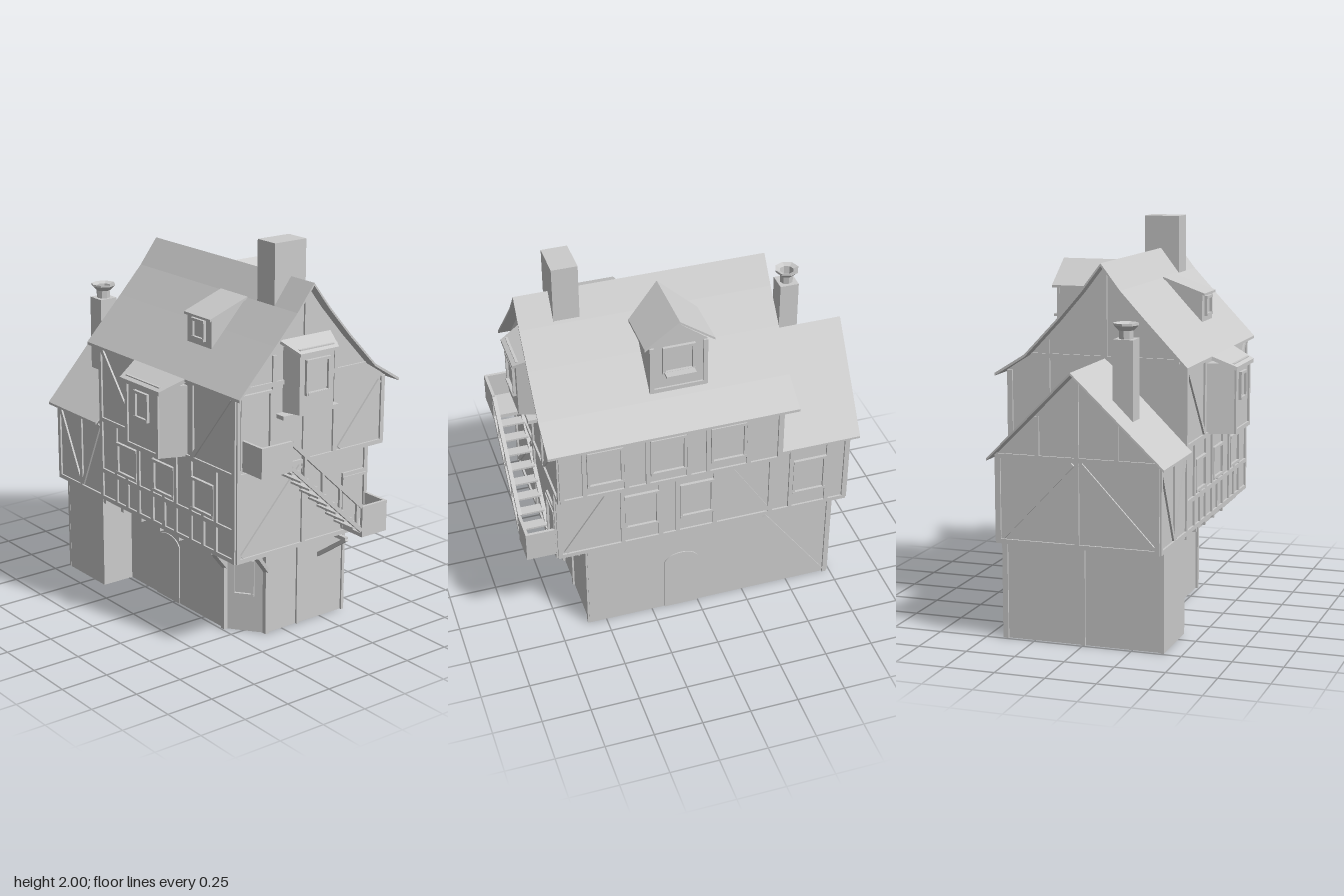
import * as THREE from 'three';
import { ConvexGeometry } from 'three/addons/geometries/ConvexGeometry.js';

const mat = new THREE.MeshStandardMaterial({ color: 0xcccccc, flatShading: true, side: THREE.DoubleSide });

function add(parent, name, geometry) {
  const mesh = new THREE.Mesh(geometry, mat);
  mesh.name = name;
  parent.add(mesh);
  return mesh;
}

// Box given by its minimum and maximum on each axis
function box(parent, name, x0, x1, y0, y1, z0, z1) {
  const m = add(parent, name, new THREE.BoxGeometry(x1 - x0, y1 - y0, z1 - z0));
  m.position.set((x0 + x1) / 2, (y0 + y1) / 2, (z0 + z1) / 2);
  return m;
}

// Square bar between two points
function bar(parent, name, a, b, w) {
  const p = new THREE.Vector3(...a), q = new THREE.Vector3(...b);
  const m = add(parent, name, new THREE.BoxGeometry(w, w, p.distanceTo(q)));
  m.position.copy(p).lerp(q, 0.5);
  m.lookAt(q);
  return m;
}

// Convex solid around a few corners
const hull = (parent, name, pts) =>
  add(parent, name, new ConvexGeometry(pts.map(p => new THREE.Vector3(...p))));

// Thin roof plate: corners of the top surface, given a thickness downwards
const slab = (parent, name, pts, t = 0.012) =>
  hull(parent, name, [...pts, ...pts.map(([x, y, z]) => [x, y - t, z])]);

// [z, y] profile extruded along x
function extrudeX(parent, name, profile, x0, x1) {
  const shape = new THREE.Shape(profile.map(([z, y]) => new THREE.Vector2(-z, y)));
  const g = new THREE.ExtrudeGeometry(shape, { depth: x1 - x0, bevelEnabled: false });
  g.rotateY(Math.PI / 2);
  g.translate(x0, 0, 0);
  return add(parent, name, g);
}

// Wall plane: local x to the right, y up, z outwards
function face(parent, name, x, z, turn) {
  const g = new THREE.Group();
  g.name = name;
  g.position.set(x, 0, z);
  g.rotation.y = turn;
  parent.add(g);
  return g;
}

// Timbers as [x1, y1, x2, y2] on a wall plane
function timbers(wall, list, w = 0.022) {
  for (const [x1, y1, x2, y2] of list) {
    const m = add(wall, 'timber', new THREE.BoxGeometry(Math.hypot(x2 - x1, y2 - y1), w, 0.016));
    m.position.set((x1 + x2) / 2, (y1 + y2) / 2, 0.002);
    m.rotation.z = Math.atan2(y2 - y1, x2 - x1);
  }
}

// Framed window on a wall plane
function windowAt(wall, x, y, w, h, sill = 0) {
  const t = 0.014, a = w / 2, b = h / 2;
  box(wall, 'windowPane', x - a, x + a, y - b, y + b, -0.005, 0.002);
  for (const s of [-1, 1]) {
    box(wall, 'windowFrame', x + s * a - t / 2, x + s * a + t / 2, y - b, y + b, -0.005, 0.014);
    box(wall, 'windowFrame', x - a - t / 2, x + a + t / 2, y + s * b - t / 2, y + s * b + t / 2, -0.005, 0.016);
  }
  if (sill) box(wall, 'windowSill', x - a, x + a, y - b - 0.006, y - b + 0.006, 0, sill);
}

// Door with a low arched top
function archDoor(wall, x, w, h) {
  const s = new THREE.Shape();
  s.moveTo(x - w / 2, 0);
  s.lineTo(x + w / 2, 0);
  s.lineTo(x + w / 2, h - 0.045);
  s.quadraticCurveTo(x + w * 0.36, h, x, h);
  s.quadraticCurveTo(x - w * 0.36, h, x - w / 2, h - 0.045);
  add(wall, 'archedDoor', new THREE.ExtrudeGeometry(s, { depth: 0.006, bevelEnabled: false }));
}

export function createModel() {
  const house = new THREE.Group();
  house.name = 'timberHouse';

  // Ground floor: walls around an open-bottomed plan
  const plan = [[-0.73, 0.41], [-0.4, 0.41], [-0.4, 0.23], [0.42, 0.23], [0.59, 0.1], [0.59, -0.41], [-0.73, -0.41]];
  const v = [];
  plan.forEach(([x, z], i) => {
    const [p, q] = plan[(i + 1) % plan.length];
    v.push(x, 0, z, p, 0, q, p, 0.5, q, x, 0, z, p, 0.5, q, x, 0.5, z);
  });
  const walls = new THREE.BufferGeometry();
  walls.setAttribute('position', new THREE.Float32BufferAttribute(v, 3));
  walls.computeVertexNormals();
  add(house, 'groundFloorWalls', walls);

  // Upper storeys and the lower side wing
  extrudeX(house, 'upperStoreys', [[0.41, 0.5], [-0.41, 0.5], [-0.41, 0.94], [-0.51, 0.94], [-0.51, 1.285],
    [-0.38, 1.375], [-0.23, 1.535], [-0.1, 1.685], [0, 1.815], [0.1, 1.685], [0.41, 1.35]], -0.4, 0.74);
  extrudeX(house, 'sideWing', [[0.41, 0.5], [-0.41, 0.5], [-0.41, 0.935], [0, 1.345], [0.41, 0.935]], -0.81, -0.4);

  // Roofs
  const roofTop = [[-0.56, 1.27], [-0.4, 1.37], [-0.23, 1.55], [-0.1, 1.7], [0, 1.83], [0.1, 1.7], [0.23, 1.56], [0.44, 1.34]];
  extrudeX(house, 'mainRoof', [...roofTop, ...roofTop.map(([z, y]) => [z, y - 0.014]).reverse()], -0.47, 0.8);
  for (const s of [-1, 1])
    slab(house, 'wingRoof', [[-0.9, 1.36, 0], [-0.4, 1.36, 0], [-0.4, 0.92, s * 0.445], [-0.857, 0.92, s * 0.445]]);

  // Chimneys
  box(house, 'mainChimney', 0.5, 0.63, 1.6, 2, -0.09, 0.1);
  box(house, 'wingChimney', -0.725, -0.625, 1.1, 1.5, 0.15, 0.25);
  const pot = [[0.035, 1.5], [0.037, 1.54], [0.063, 1.565], [0.063, 1.575], [0.037, 1.565], [0.033, 1.5]];
  add(house, 'chimneyPot', new THREE.LatheGeometry(pot.map(p => new THREE.Vector2(...p)), 8)).position.set(-0.675, 0, 0.2);

  // Front dormer with a lean-to roof
  extrudeX(house, 'frontDormer', [[0.31, 1.47], [0.31, 1.62], [0.1, 1.69], [0.2, 1.47]], 0.225, 0.415);
  slab(house, 'frontDormerRoof', [[0.215, 1.625, 0.325], [0.425, 1.625, 0.325], [0.425, 1.705, 0.1], [0.215, 1.705, 0.1]]);
  windowAt(face(house, 'frontDormerFace', 0, 0.31, 0), 0.32, 1.555, 0.09, 0.09);

  // Back dormer with a gabled roof
  const gable = new THREE.Shape([[-0.05, 1.4], [0.24, 1.4], [0.24, 1.665], [0.095, 1.775], [-0.05, 1.665]].map(p => new THREE.Vector2(...p)));
  const gableGeo = new THREE.ExtrudeGeometry(gable, { depth: 0.3, bevelEnabled: false });
  add(house, 'backDormer', gableGeo).position.z = -0.375;
  for (const x of [-0.08, 0.27])
    slab(house, 'backDormerRoof', [[0.095, 1.8, -0.4], [0.095, 1.8, -0.03], [x, 1.675, -0.13], [x, 1.675, -0.4]]);
  const dormerFace = face(house, 'backDormerFace', 0.095, -0.375, Math.PI);
  windowAt(dormerFace, 0, 1.58, 0.15, 0.14, 0.055);
  timbers(dormerFace, [[-0.135, 1.4, -0.135, 1.66], [0.135, 1.4, 0.135, 1.66], [-0.14, 1.41, 0.14, 1.41]]);

  // Front bay window
  hull(house, 'frontBay', [0.94, 1.3].flatMap(y => [[-0.03, y, 0.4], [0.36, y, 0.4], [0.305, y, 0.54], [0.022, y, 0.54]]));
  slab(house, 'frontBayRoof', [[-0.05, 1.345, 0.43], [0.38, 1.345, 0.43], [0.33, 1.285, 0.56], [0, 1.285, 0.56]], 0.02);
  const bayFace = face(house, 'frontBayFace', 0.164, 0.54, 0);
  windowAt(bayFace, 0, 1.172, 0.1, 0.13);
  timbers(bayFace, [[-0.13, 0.94, -0.13, 1.27], [0.13, 0.94, 0.13, 1.27], [-0.14, 0.95, 0.14, 0.95]]);

  // Oriel window on the right gable
  hull(house, 'gableOriel', [1.21, 1.53].flatMap(y => [[0.72, y, 0.14], [0.72, y, -0.14], [0.83, y, -0.105], [0.83, y, 0.105]]));
  slab(house, 'gableOrielRoof', [[0.73, 1.57, 0.16], [0.73, 1.57, -0.16], [0.85, 1.515, -0.118], [0.85, 1.515, 0.118]], 0.015);
  box(house, 'gableOrielBase', 0.73, 0.8, 1.19, 1.21, -0.17, 0.175);
  const orielFace = face(house, 'gableOrielFace', 0.83, 0, Math.PI / 2);
  windowAt(orielFace, 0, 1.39, 0.135, 0.16, 0.02);

  // Front walls
  const front = face(house, 'frontWall', 0, 0.41, 0);
  for (const x of [-0.157, 0.163, 0.488]) {
    windowAt(front, x, 0.767, 0.165, 0.155);
    timbers(front, [-0.1, 0.1].map(d => [x + d, 0.51, x + d, 0.94]));
    timbers(front, [[x, 0.51, x, 0.68]]);
  }
  timbers(front, [[-0.81, 0.51, 0.74, 0.51], [-0.39, 0.94, 0.74, 0.94], [-0.39, 0.66, 0.74, 0.66], [-0.39, 0.51, -0.39, 1.34],
    [0.73, 0.51, 0.73, 1.34], [-0.38, 1.32, -0.08, 0.95], [0.4, 0.95, 0.7, 1.32], [-0.08, 0.94, -0.08, 1.34], [0.4, 0.94, 0.4, 1.34],
    [-0.8, 0.51, -0.8, 0.92], [-0.59, 0.51, -0.59, 0.92], [-0.79, 0.9, -0.6, 0.53], [-0.41, 0.9, -0.58, 0.53]]);
  for (let i = 0; i < 5; i++) box(house, 'joistEnd', -0.385 + i * 0.163, -0.365 + i * 0.163, 0.475, 0.505, 0.23, 0.415);
  archDoor(face(house, 'frontGroundWall', 0, 0.23, 0), -0.06, 0.2, 0.36);

  // Back walls, from the ground up
  const back = face(house, 'backWall', 0, -0.41, Math.PI);
  archDoor(back, -0.09, 0.18, 0.36);
  for (const x of [-0.3, -0.01, 0.6]) {
    windowAt(back, x, 0.71, 0.165, 0.2);
    timbers(back, [-0.1, 0.1].map(d => [x + d, 0.51, x + d, 0.93]));
  }
  timbers(back, [[-0.74, 0.51, 0.81, 0.51], [-0.73, 0.51, -0.73, 0.94], [-0.7, 0.53, -0.43, 0.92], [0.39, 0.51, 0.39, 0.93],
    [0.38, 0.53, 0.13, 0.92], [0.8, 0.51, 0.8, 0.93], [0.36, 0.49, 0.7, 0.02], [0.72, 0, 0.72, 0.5]]);
  const backTop = face(house, 'backTopWall', 0, -0.51, Math.PI);
  for (const x of [-0.51, -0.19, 0.12]) {
    windowAt(backTop, x, 1.115, 0.17, 0.2);
    timbers(backTop, [-0.105, 0.105].map(d => [x + d, 0.95, x + d, 1.28]));
  }
  timbers(backTop, [[-0.74, 0.95, 0.4, 0.95], [-0.73, 0.95, -0.73, 1.28], [0.39, 0.95, 0.39, 1.28], [-0.73, 1.25, 0.4, 1.25]]);

  // Left gable wall and the ground wall under it
  const left = face(house, 'leftWall', -0.81, 0, -Math.PI / 2);
  timbers(left, [[-0.41, 0.51, 0.41, 0.51], [-0.41, 0.93, 0.41, 0.93], [0, 0.51, 0, 1.33]]);
  const leftGround = face(house, 'leftGroundWall', -0.73, 0, -Math.PI / 2);
  for (const s of [-1, 1]) {
    timbers(left, [[s * 0.4, 0.51, s * 0.4, 0.93], [s * 0.38, 0.53, s * 0.02, 0.91], [s * 0.2, 0.93, s * 0.2, 1.13]]);
    timbers(leftGround, [[s * 0.4, 0, s * 0.4, 0.5]]);
  }
  timbers(leftGround, [[0, 0, 0, 0.5]]);
  const leftTop = face(house, 'upperLeftGable', -0.4, 0, -Math.PI / 2);
  timbers(leftTop, [[-0.5, 0.95, -0.5, 1.28], [-0.3, 1.1, -0.3, 1.44], [-0.38, 1.36, 0.38, 1.36], [0, 1.36, 0, 1.8]]);

  // Right gable wall with its doors
  const right = face(house, 'rightWall', 0.74, 0, Math.PI / 2);
  windowAt(right, -0.298, 1.155, 0.175, 0.35);
  windowAt(right, 0.325, 0.67, 0.14, 0.25);
  timbers(right, [[-0.41, 0.51, 0.41, 0.51], [-0.41, 0.94, 0.51, 0.94], [-0.4, 0.51, -0.4, 1.34], [0.4, 0.51, 0.4, 0.94],
    [0.5, 0.94, 0.5, 1.28], [-0.19, 0.94, -0.19, 1.5], [0.19, 0.94, 0.19, 1.5], [-0.36, 1.36, 0.38, 1.36], [0.22, 0.96, 0.48, 1.26],
    [0, 0.51, 0, 1.19], [0, 1.57, 0, 1.8], [-0.38, 0.53, -0.02, 0.92], [0.25, 0.81, 0.4, 0.81]]);
  const rightGround = face(house, 'rightGroundWall', 0.59, 0, Math.PI / 2);
  timbers(rightGround, [[0.4, 0, 0.4, 0.5], [0.1, 0, 0.1, 0.5]], 0.016);

  // Canted ground corner: posts, braces and window
  for (const [x, z] of [[0.42, 0.23], [0.59, 0.1]]) {
    bar(house, 'cornerPost', [x, 0, z], [x, 0.5, z], 0.024);
    bar(house, 'cornerBrace', [x, 0.34, z], [x + 0.135, 0.5, z + 0.172], 0.024);
  }
  windowAt(face(house, 'cantedWall', 0.505, 0.165, Math.atan2(0.13, 0.17)), -0.01, 0.29, 0.1, 0.18);

  // Outside stair: two landings, flight and railing
  box(house, 'upperLandingFloor', 0.74, 0.9, 0.97, 0.99, 0.2, 0.385);
  box(house, 'upperLandingRail', 0.885, 0.9, 0.97, 1.12, 0.2, 0.385);
  box(house, 'upperLandingRail', 0.74, 0.9, 0.97, 1.12, 0.37, 0.385);
  box(house, 'lowerLandingFloor', 0.74, 0.9, 0.53, 0.55, -0.41, -0.25);
  box(house, 'lowerLandingRail', 0.885, 0.9, 0.53, 0.69, -0.41, -0.25);
  box(house, 'lowerLandingRail', 0.74, 0.9, 0.53, 0.69, -0.41, -0.395);
  for (const x of [0.75, 0.89]) bar(house, 'stairStringer', [x, 0.985, 0.2], [x, 0.565, -0.25], 0.02);
  bar(house, 'stairHandrail', [0.89, 1.11, 0.2], [0.89, 0.69, -0.25], 0.02);
  for (let i = 0; i < 8; i++) {
    const t = (i + 0.5) / 8, z = 0.2 - 0.45 * t, y = 0.98 - 0.42 * t;
    box(house, 'stairTread', 0.75, 0.89, y - 0.005, y + 0.005, z - 0.027, z + 0.027);
    if (i % 2) bar(house, 'railPost', [0.89, y, z], [0.89, y + 0.13, z], 0.014);
  }

  // Support under the lower landing
  bar(house, 'landingBeam', [0.58, 0.49, -0.24], [0.8, 0.49, -0.24], 0.02);
  bar(house, 'landingBrace', [0.585, 0.34, -0.24], [0.8, 0.49, -0.24], 0.02);

  return house;
}
